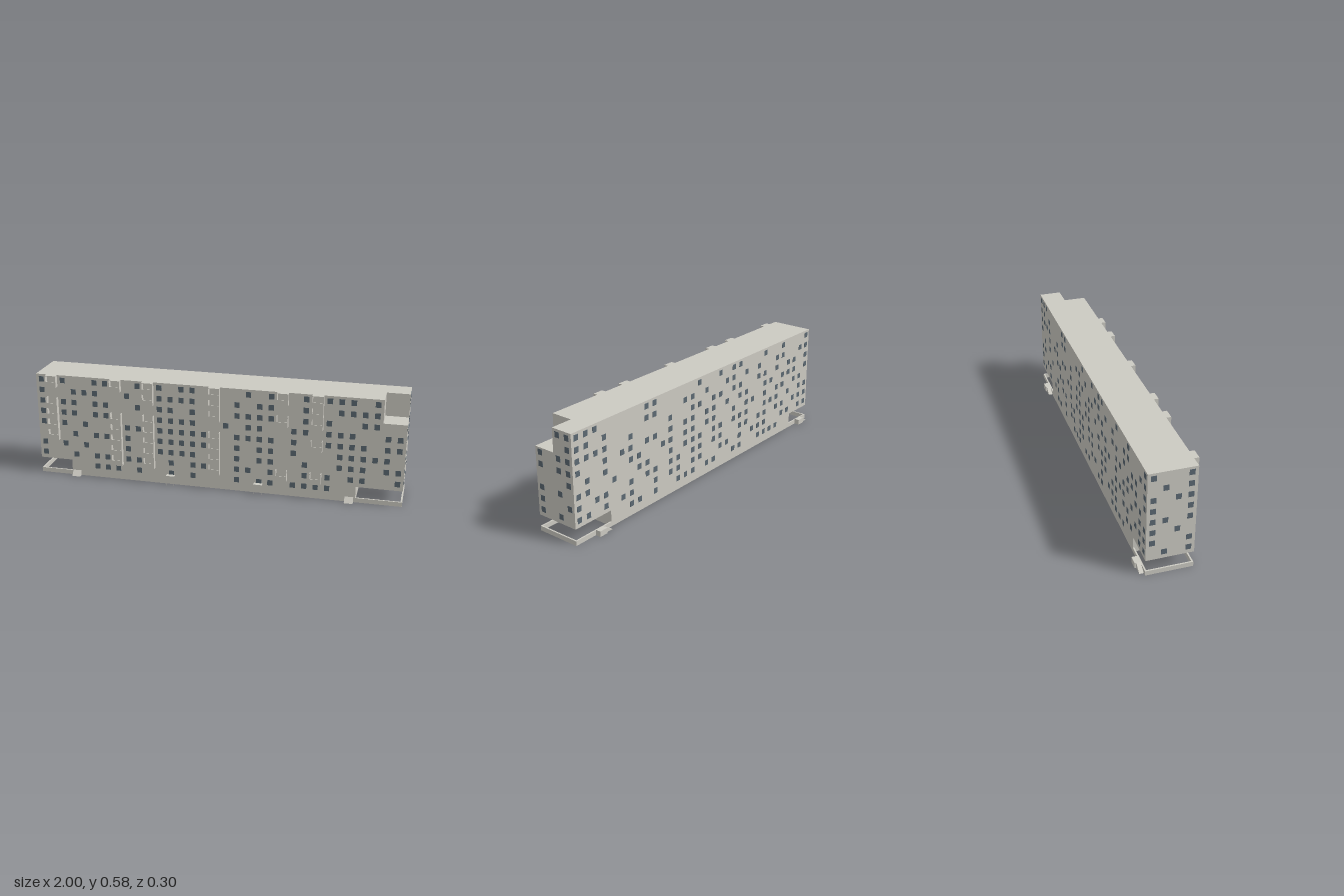
import * as THREE from 'three';
import { mergeGeometries } from 'three/addons/utils/BufferGeometryUtils.js';

const C = 2 / 33;                 // one bay of the facade grid
const BASE = 0.088, TOP = 0.577;  // underside of the upper floors, roof level
const BACK = -0.118, FRONT = 0.124, MID = FRONT - 2 * C;
const FOOT_L = -1 + 3 * C, FOOT_R = 1 - 4 * C;

const wallMat = new THREE.MeshStandardMaterial({ color: 0xcccac2, side: THREE.DoubleSide });
const glassMat = new THREE.MeshStandardMaterial({ color: 0x5b6872 });

// Box from its minimum and maximum corners
function box(x0, y0, z0, x1, y1, z1) {
  return new THREE.BoxGeometry(x1 - x0, y1 - y0, z1 - z0)
    .translate((x0 + x1) / 2, (y0 + y1) / 2, (z0 + z1) / 2);
}

// Extrudes an outline of [x, y] points along z
function prism(points, z0, z1) {
  const shape = new THREE.Shape(points.map(p => new THREE.Vector2(...p)));
  return new THREE.ExtrudeGeometry(shape, { depth: z1 - z0, bevelEnabled: false }).translate(0, 0, z0);
}

const colX = i => -1 + (i + 0.5) * C;
const rowY = r => 0.549 - r * C;
const floorY = r => BASE + (7 - r) * C;

// Each string is a storey from the top down, '#' marks a window
const FRONT_WINDOWS = [
  '#.#..##..#.#.##....#.#..#.###.#..',
  '#..###..#..####...#.##..#..####..',
  '#.##.##..#.##.#...####..#.#..##..',
  '#.##.##....####..#.##..##.###..##',
  '#.#.#...##.#####..####.#..####.##',
  '...#.##.#..#####..#.##.#...#####.',
  '#.#.#...#..####...#.##..#..###.##',
  '#..#.##.##..#.##..##.#..#.#.##..#',
  '.....###.#..#.#...#.##.####......',
];
const BACK_WINDOWS = [ // read from the +x end
  '###.....##.....#..#.##...#..#...#',
  '##.#....##...##.#..##.#.#..##..##',
  '####..#....#..##.##.##..##.#.##.#',
  '#..#.##.##.#.##.##.#.##..##.###.#',
  '.#.#..##..##.##.##..#.##.#.##.##.',
  '##..#..##..#.###.##.###..###.#.##',
  '#.##..#.##.##.##.##..##.##.##.###',
  '##.#.##..#.##.##..##.#.###..##.##',
  '......##.#..###.##..##..####.....',
];
const RIGHT_WINDOWS = ['..##', '...#', '#.##', '#.##', '...#', '#.#.', '#..#', '#.#.'];
const LEFT_WINDOWS = ['#..#', '#.#.', '##.#', '#..#', '#.##', '.#.#', '#..#', '#.#.'];

// Windows of one wall; place(i) gives position along the wall and facing
function windows(name, rows, angle, place) {
  const parts = [];
  rows.forEach((row, r) => [...row].forEach((c, i) => {
    if (c !== '#') return;
    const [x, z] = place(i);
    parts.push(new THREE.BoxGeometry(0.028, 0.03, 0.002).rotateY(angle).translate(x, rowY(r), z));
  }));
  const mesh = new THREE.Mesh(mergeGeometries(parts), glassMat);
  mesh.name = name;
  return mesh;
}

// Open balcony: floor, two full-height side walls, half-height parapet
function balcony(col, r) {
  const t = 0.003, z1 = 0.149;
  const x0 = colX(col) - C / 2, x1 = x0 + C;
  const y0 = floorY(r), y1 = r === 0 ? TOP : y0 + C;
  const parts = [
    box(x0, y0, FRONT, x1, y0 + t, z1),
    box(x0, y0, FRONT, x0 + t, y1, z1),
    box(x1 - t, y0, FRONT, x1, y1, z1),
    box(x0, y0, z1 - t, x1, y0 + C / 2, z1),
  ];
  if (r === 0) parts.push(box(x0, TOP - t, FRONT, x1, TOP, z1));
  return mergeGeometries(parts);
}

export function createModel() {
  const model = new THREE.Group();
  const add = (name, geometry) => {
    const mesh = new THREE.Mesh(geometry, wallMat);
    mesh.name = name;
    model.add(mesh);
  };

  // Slab block on a shorter foot; the front half has a terrace cut from one corner
  const underside = [[-1, BASE], [FOOT_L, BASE], [FOOT_L, 0], [FOOT_R, 0], [FOOT_R, BASE], [1, BASE]];
  const terraceX = 1 - 2 * C, terraceY = BASE + 6 * C;
  add('rearBlock', prism([...underside, [1, TOP], [-1, TOP]], BACK, MID));
  add('frontBlock', prism([...underside, [1, terraceY], [terraceX, terraceY],
    [terraceX, TOP], [-1, TOP]], MID, FRONT));

  // Windows on all four walls
  model.add(windows('frontWindows', FRONT_WINDOWS, 0, i => [colX(i), FRONT]));
  model.add(windows('backWindows', BACK_WINDOWS, 0, i => [-colX(i), BACK]));
  const sideZ = i => FRONT - (i + 0.5) * C;
  model.add(windows('rightEndWindows', RIGHT_WINDOWS, Math.PI / 2, i => [1, sideZ(i)]));
  model.add(windows('leftEndWindows', LEFT_WINDOWS, Math.PI / 2, i => [-1, sideZ(i)]));

  // Balcony stacks: column, then storeys from the top
  const stacks = {
    1: [0, 2, 3, 4, 5], 7: [0, 3, 4, 5, 6, 7], 10: [0, 1, 3, 4, 5, 6, 7],
    16: [0, 1, 2, 4, 5, 6, 7], 22: [0, 2, 7], 25: [0, 1, 2, 4, 7],
  };
  for (const [col, storeys] of Object.entries(stacks)) {
    add('balconyStack', mergeGeometries(storeys.map(r => balcony(+col, r))));
  }

  // Low garden walls around the open ground under each overhang
  const h = 0.025, t = 0.008;
  for (const [end, foot] of [[-1, FOOT_L], [1, FOOT_R]]) {
    const x0 = Math.min(end, foot), x1 = Math.max(end, foot);
    const outer = end < 0 ? x0 : x1 - t;
    add('gardenWall', mergeGeometries([
      box(x0, 0, FRONT - t, x1, h, FRONT),
      box(x0, 0, BACK, x1, h, BACK + t),
      box(outer, 0, BACK + t, outer + t, h, FRONT - t),
    ]));
  }

  // Entrance canopies on two thin posts
  for (const x of [-0.245, 0.24]) {
    const w = 0.023, p = 0.003;
    add('entranceCanopy', mergeGeometries([
      box(x - w, 0.053, FRONT, x + w, 0.056, 0.149),
      box(x - w, 0, 0.149 - p, x - w + p, 0.053, 0.149),
      box(x + w - p, 0, 0.149 - p, x + w, 0.053, 0.149),
    ]));
  }

  // Sloping cellar hatches at the front
  for (const x of [-0.79, 0.725]) {
    add('cellarHatch', prism([[0, 0], [0.025, 0], [0, 0.028]], 0, 0.046)
      .rotateY(-Math.PI / 2).translate(x + 0.023, 0, FRONT));
  }
  // Hatches are turned so that their slope falls away from the wall

  // Rear landings with a ramp along the wall
  for (const x of [-0.935, 0.82]) {
    add('rearLanding', box(x, 0, -0.148, x + 0.048, 0.03, BACK));
    add('rearRamp', prism([[x - 0.046, 0], [x, 0], [x, 0.03]], -0.14, BACK));
  }
  return model;
}
